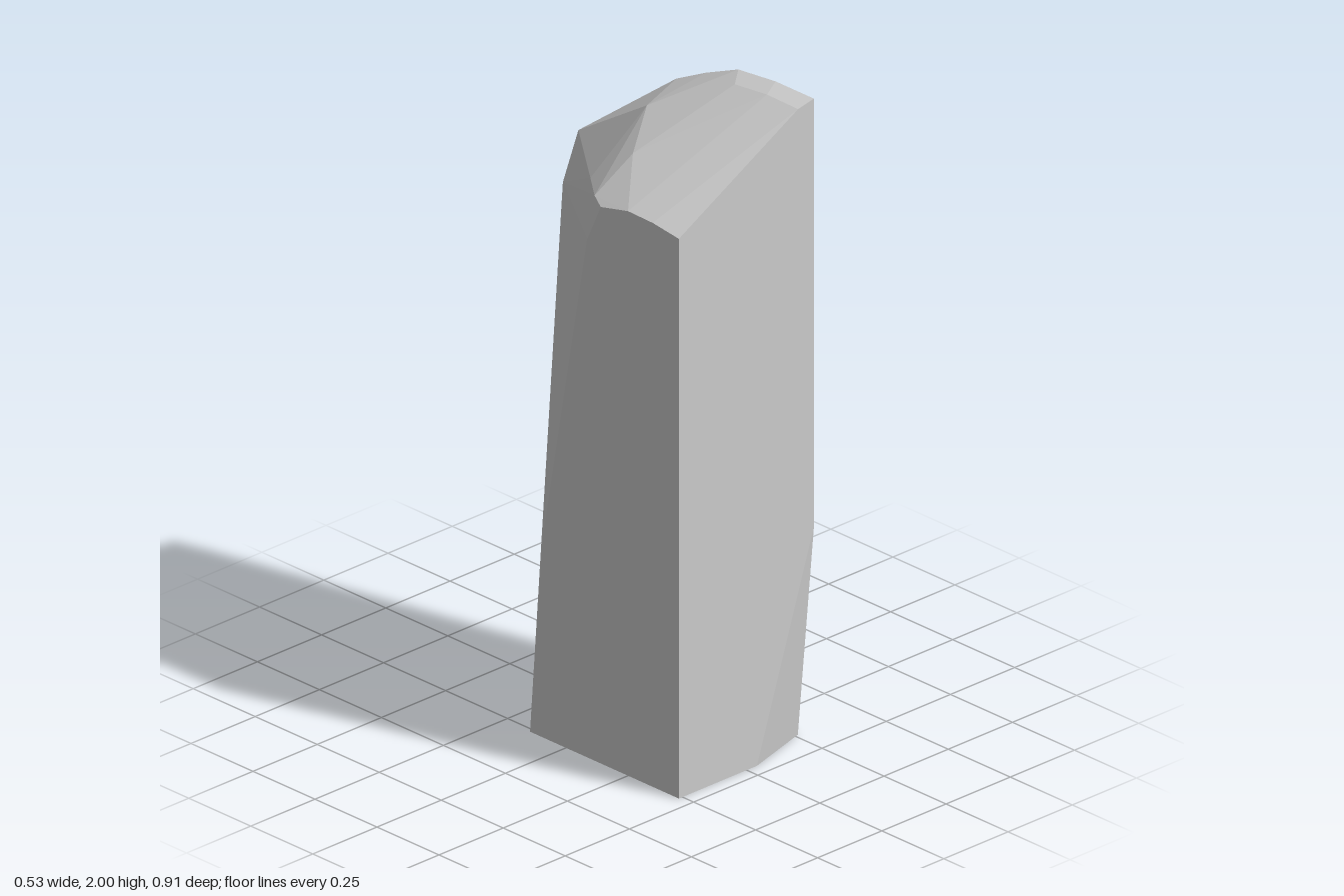
import * as THREE from 'three';
import { ConvexGeometry } from 'three/addons/geometries/ConvexGeometry.js';

export function createModel() {
  const group = new THREE.Group();
  const stone = new THREE.MeshStandardMaterial({ color: 0xcccccc });
  stone.name = 'paleStone';
  const L = -0.264, R = 0.262, F = 0.455;

  // base outline [x, z]
  const base = [[L, F], [0.04, F], [R, 0.39], [R, -0.07], [0.09, -0.18],
    [-0.03, -0.21], [-0.137, -0.18], [L, -0.145]];
  // tall flat side [z, y]
  const tallSide = [[F, 0.67], [F, 2], [0.3, 2], [0.15, 1.985], [0.02, 1.93],
    [-0.1, 1.87], [-0.4, 1.64], [-0.45, 1.59], [-0.45, 1.47]];
  // short flat side [z, y]
  const shortSide = [[F, 1.74], [0.35, 1.753], [0.25, 1.755], [0.14, 1.73],
    [0.085, 1.61], [-0.09, 0.64]];
  // crown and rear shoulder [x, y, z]
  const crown = [[0.2, 1.988, F], [0.2, 1.99, 0.33], [0.2, 1.977, 0.2],
    [-0.1, 1.828, 0.1], [0.08, 1.872, -0.03], [-0.235, 1.737, 0.085],
    [-0.14, 1.72, -0.03], [0.18, 1.63, -0.41], [0.205, 1.485, -0.455], [0.11, 1.495, -0.4]];

  const points = [
    ...base.map(([x, z]) => new THREE.Vector3(x, 0, z)),
    ...tallSide.map(([z, y]) => new THREE.Vector3(R, y, z)),
    ...shortSide.map(([z, y]) => new THREE.Vector3(L, y, z)),
    ...crown.map((p) => new THREE.Vector3(...p)),
  ];
  const block = new THREE.Mesh(new ConvexGeometry(points), stone);
  block.name = 'stoneBlock';
  group.add(block);
  return group;
}
